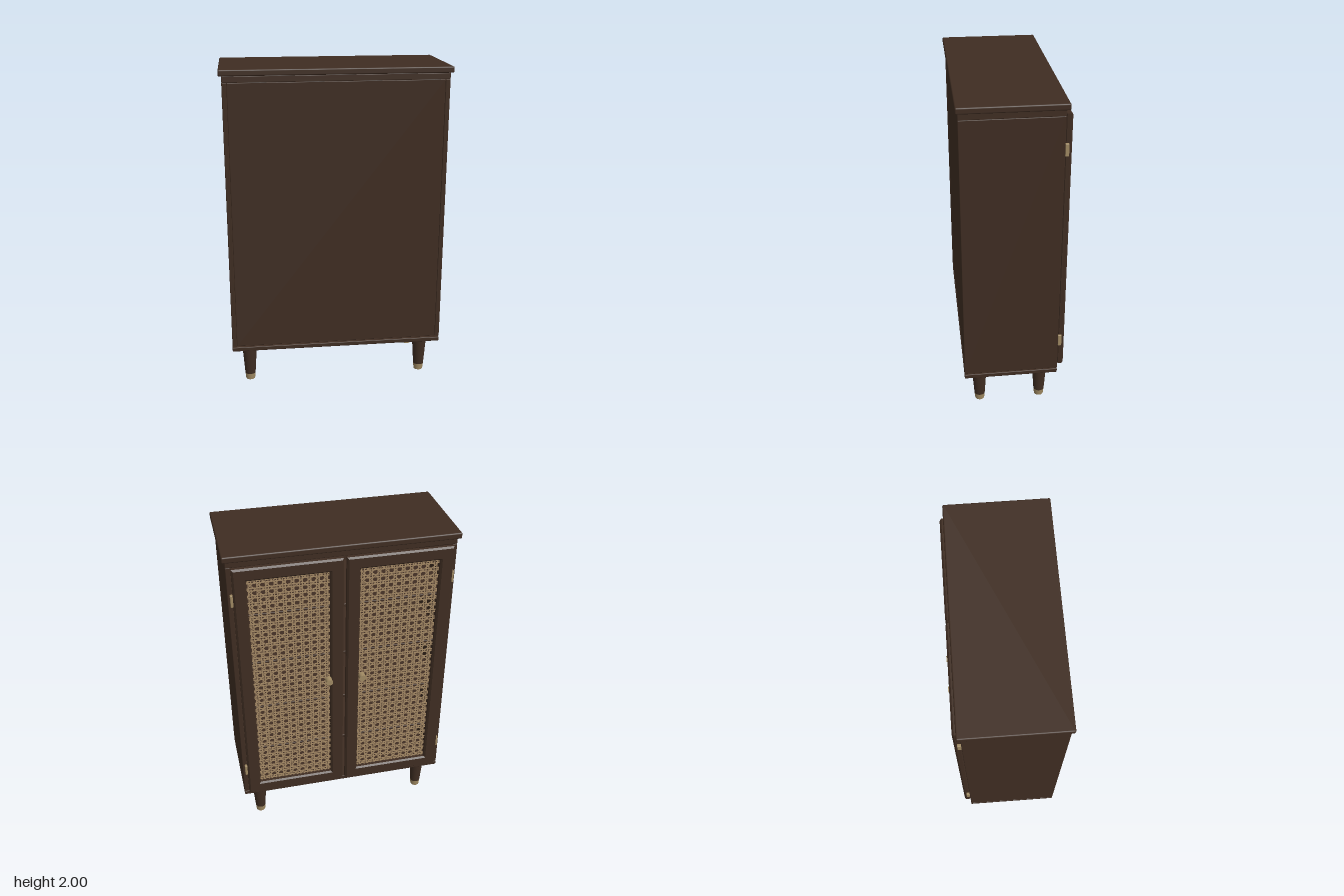
import * as THREE from 'three';
import { mergeGeometries } from 'three/addons/utils/BufferGeometryUtils.js';
import { RoundedBoxGeometry } from 'three/addons/geometries/RoundedBoxGeometry.js';

function material(name, color) {
  const m = new THREE.MeshStandardMaterial({ color });
  m.name = name;
  return m;
}

export function createModel() {
  const wood = material('dark walnut', 0x3f2d22);
  const brass = material('brass', 0xa08a63);
  const cane = material('woven cane', 0xa08562);
  const model = new THREE.Group();
  model.name = 'caneCabinet';

  function add(name, geometry, mat, x = 0, y = 0, z = 0, parent = model) {
    const mesh = new THREE.Mesh(geometry, mat);
    mesh.name = name;
    mesh.position.set(x, y, z);
    parent.add(mesh);
    return mesh;
  }

  // Board given by its limits on each axis
  function board(name, x0, x1, y0, y1, z0, z1, r = 0.004) {
    const g = new RoundedBoxGeometry(x1 - x0, y1 - y0, z1 - z0, 2, r);
    return add(name, g, wood, (x0 + x1) / 2, (y0 + y1) / 2, (z0 + z1) / 2);
  }

  // Carcass
  board('topBoard', -0.68, 0.68, 1.963, 2, -0.275, 0.33, 0.008);
  board('topRail', -0.662, 0.662, 1.925, 1.963, -0.255, 0.317);
  board('bottomBoard', -0.662, 0.662, 0.24, 0.267, -0.255, 0.317);
  board('closedPanel', -0.634, 0.634, 0.275, 1.925, 0.296, 0.314);
  for (const s of [-1, 1]) {
    board('sidePanel', s * 0.648 - 0.014, s * 0.648 + 0.014, 0.275, 1.925, -0.255, 0.317);
  }
  for (let i = 1; i <= 4; i++) {
    const y = 0.27 + i * 0.331;
    board('shelf', -0.634, 0.634, y - 0.01, y + 0.01, -0.235, 0.296);
  }

  // Tapered legs with brass tips
  const legGeometry = new THREE.CylinderGeometry(0.047, 0.033, 0.2, 24);
  const tipGeometry = new THREE.CylinderGeometry(0.033, 0.029, 0.04, 24);
  for (const x of [-0.555, 0.555]) {
    for (const z of [-0.16, 0.22]) {
      add('leg', legGeometry, wood, x, 0.14, z);
      add('legTip', tipGeometry, brass, x, 0.02, z);
    }
  }

  // Door frame with chamfered edges around a rectangular opening
  const doorW = 0.625, doorH = 1.645, rail = 0.078, bevel = 0.01;
  function rectangle(Type, w, h) {
    const p = new Type();
    p.moveTo(-w / 2, -h / 2);
    p.lineTo(w / 2, -h / 2);
    p.lineTo(w / 2, h / 2);
    p.lineTo(-w / 2, h / 2);
    p.closePath();
    return p;
  }
  const openW = doorW - 2 * rail, openH = doorH - 2 * rail;
  const frameShape = rectangle(THREE.Shape, doorW, doorH);
  frameShape.holes.push(rectangle(THREE.Path, openW, openH));
  const frameGeometry = new THREE.ExtrudeGeometry(frameShape, {
    depth: 0.022, bevelThickness: bevel, bevelSize: bevel, bevelOffset: -bevel, bevelSegments: 1,
  });

  // Cane webbing: paired upright and level strands crossed by diagonals
  const strands = [];
  function strand(length, width, x, y, z, angle) {
    const g = new THREE.BoxGeometry(length, width, 0.003);
    g.rotateZ(angle);
    g.translate(x, y, z);
    strands.push(g);
  }
  const caneW = openW + 0.01, caneH = openH + 0.01, pitch = 0.047;
  function pairs(span, place) {
    const n = Math.round(span / pitch);
    for (let i = 0; i < n; i++) {
      const c = -span / 2 + (i + 0.5) * span / n;
      place(c - 0.008);
      place(c + 0.008);
    }
  }
  pairs(caneW, x => strand(caneH, 0.006, x, 0, 0.002, Math.PI / 2));
  pairs(caneH, y => strand(caneW, 0.006, 0, y, -0.002, 0));
  const reach = (caneW + caneH) / 2;
  for (let c = -reach + pitch / 2; c < reach; c += pitch) {
    // The line y = x + c, clipped to the opening, and its mirror image
    const a = Math.max(-caneW / 2, -caneH / 2 - c);
    const b = Math.min(caneW / 2, caneH / 2 - c);
    if (b - a < 0.01) continue;
    const mid = (a + b) / 2, length = (b - a) * Math.SQRT2;
    strand(length, 0.005, mid, mid + c, 0, Math.PI / 4);
    strand(length, 0.005, -mid, mid + c, 0, -Math.PI / 4);
  }
  const caneGeometry = mergeGeometries(strands);

  // Pair of doors with knobs and hinges
  const knobGeometry = new THREE.CylinderGeometry(0.02, 0.02, 0.04, 24).rotateX(Math.PI / 2);
  const hingeGeometry = new RoundedBoxGeometry(0.016, 0.075, 0.022, 2, 0.004);
  for (const s of [-1, 1]) {
    const door = new THREE.Group();
    door.name = s > 0 ? 'leftDoor' : 'rightDoor';
    door.position.set(s * 0.3215, 1.1075, 0);
    model.add(door);
    add('doorFrame', frameGeometry, wood, 0, 0, -0.287, door);
    add('canePanel', caneGeometry, cane, 0, 0, -0.268, door);
    add('knob', knobGeometry, brass, s * (0.103 - 0.3215), 0.0175, -0.316, door);
    for (const y of [0.47, 1.727]) {
      add('hinge', hingeGeometry, brass, s * 0.32, y - 1.1075, -0.268, door);
    }
  }

  return model;
}
